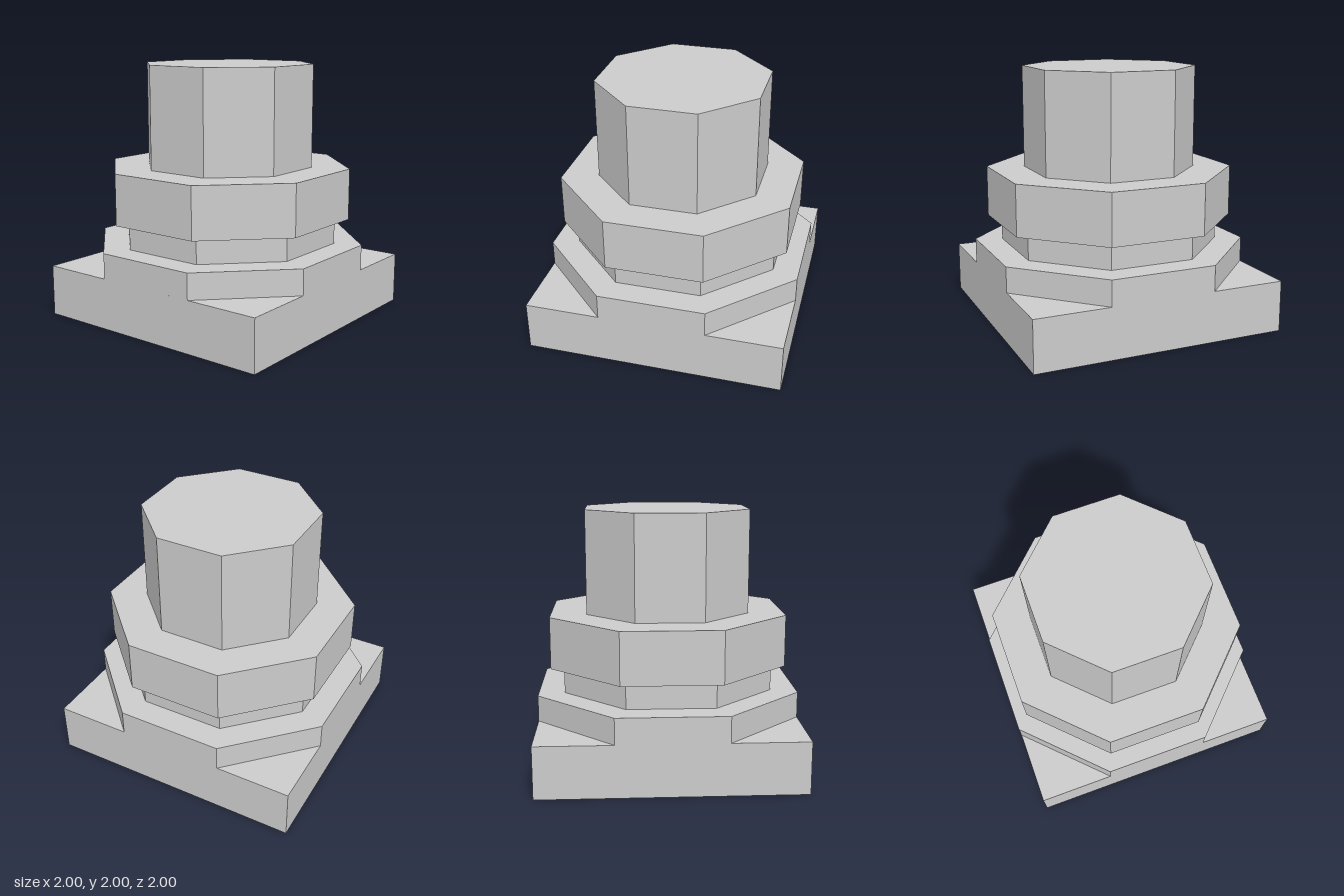
import * as THREE from 'three';

const material = new THREE.MeshStandardMaterial({ color: 0xcccccc, flatShading: true });

// Octagonal prism with flats facing the axes; "half" is half its width across flats
function octagon(name, half, bottom, top) {
  const radius = half / Math.cos(Math.PI / 8);
  const geometry = new THREE.CylinderGeometry(radius, radius, top - bottom, 8);
  geometry.rotateY(Math.PI / 8);
  geometry.translate(0, (bottom + top) / 2, 0);
  const mesh = new THREE.Mesh(geometry, material);
  mesh.name = name;
  return mesh;
}

export function createModel() {
  const model = new THREE.Group();
  model.name = 'steppedPedestal';

  // Square base slab
  const base = new THREE.Mesh(new THREE.BoxGeometry(2, 0.4, 2), material);
  base.name = 'squareBase';
  base.position.y = 0.2;
  model.add(base);

  // Stacked octagonal tiers
  model.add(
    octagon('lowerTier', 1, 0.4, 0.6),
    octagon('neck', 0.8, 0.6, 0.8),
    octagon('collar', 0.9, 0.8, 1.2),
    octagon('column', 0.625, 1.2, 2)
  );
  return model;
}
